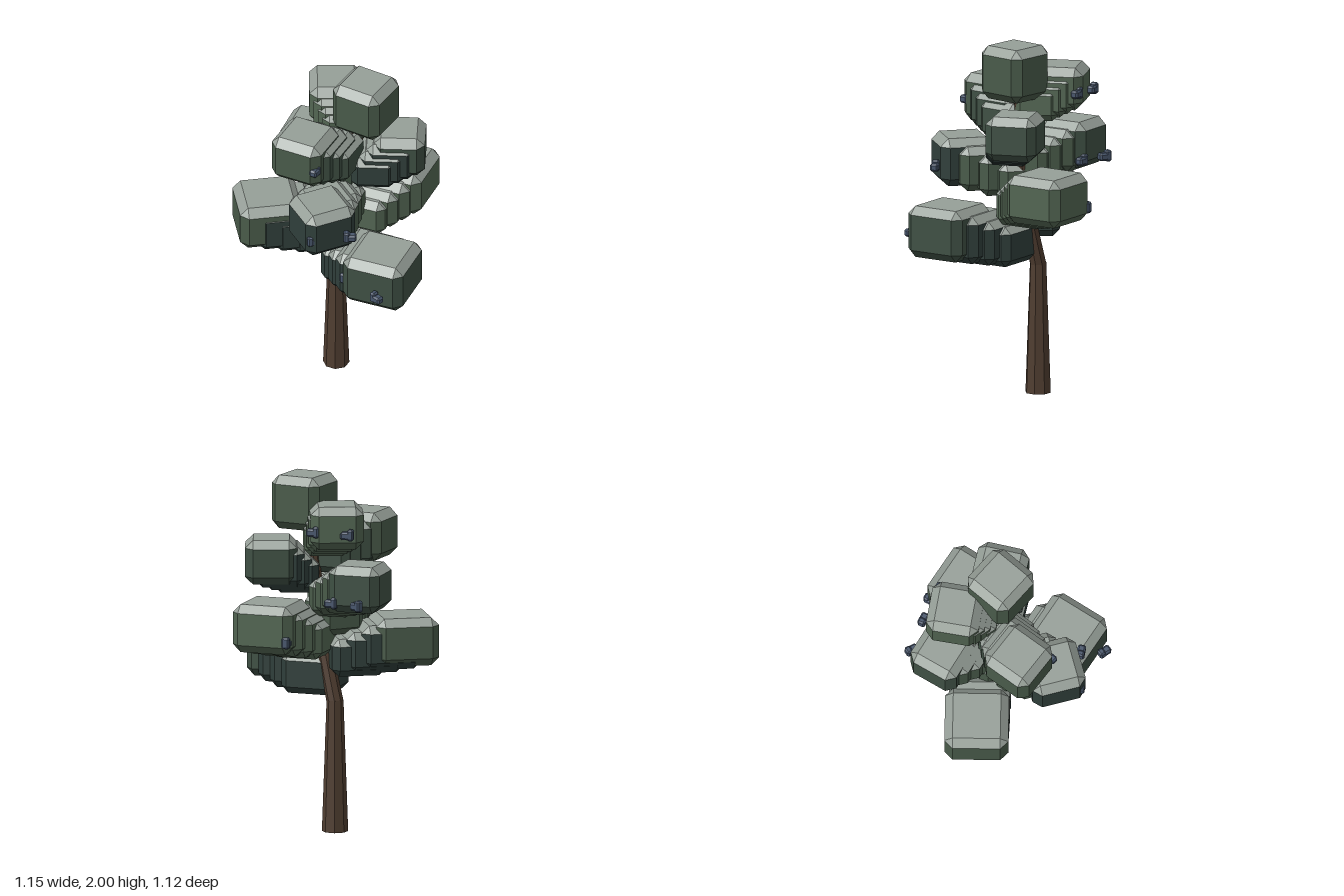
import * as THREE from 'three';
import { ConvexGeometry } from 'three/addons/geometries/ConvexGeometry.js';

const mat = (color) => new THREE.MeshStandardMaterial({ color, flatShading: true });
const bark = mat(0x4f3d30), blue = mat(0x48566c), greyTop = mat(0x969f98);
const light = mat(0x526552), mid = mat(0x495b4a), deep = mat(0x3f5044), dark = mat(0x303f3b);

// Box with every edge and corner cut by c
function chamferBox(w, h, d, c) {
  const pts = [];
  for (const sx of [-1, 1]) for (const sy of [-1, 1]) for (const sz of [-1, 1]) {
    const x = w / 2, y = h / 2, z = d / 2;
    pts.push(new THREE.Vector3(sx * x, sy * (y - c), sz * (z - c)));
    pts.push(new THREE.Vector3(sx * (x - c), sy * y, sz * (z - c)));
    pts.push(new THREE.Vector3(sx * (x - c), sy * (y - c), sz * z));
  }
  return new ConvexGeometry(pts);
}

// Keeps only the triangles that face upward, or only the others
function facesOf(geometry, upward) {
  const p = geometry.attributes.position.array, n = geometry.attributes.normal.array, kept = [];
  for (let i = 0; i < p.length; i += 9) {
    if ((n[i + 1] > 0.1) === upward) kept.push(...p.slice(i, i + 9));
  }
  const part = new THREE.BufferGeometry();
  part.setAttribute('position', new THREE.Float32BufferAttribute(kept, 3));
  part.computeVertexNormals();
  return part;
}

function addMesh(parent, name, geometry, material, x = 0, y = 0, z = 0) {
  const m = new THREE.Mesh(geometry, material);
  m.name = name;
  m.position.set(x, y, z);
  parent.add(m);
  return m;
}

// Green block with a pale grey top
function addLeafBlock(parent, w, h, c, material, x, y, z, turn) {
  const block = new THREE.Group();
  block.name = 'leafBlock';
  block.position.set(x, y, z);
  block.rotation.y = -turn * Math.PI / 180;
  const geometry = chamferBox(w, h, w, c);
  addMesh(block, 'leafSides', facesOf(geometry, false), material);
  addMesh(block, 'leafTop', facesOf(geometry, true), greyTop);
  parent.add(block);
}

// Tapered eight-sided limb between two points
function addLimb(parent, name, a, b, r0, r1) {
  const p = new THREE.Vector3(...a), q = new THREE.Vector3(...b);
  const dir = q.clone().sub(p);
  const c = p.clone().add(q).multiplyScalar(0.5);
  const m = addMesh(parent, name, new THREE.CylinderGeometry(r1, r0, dir.length(), 8), bark, c.x, c.y, c.z);
  m.quaternion.setFromUnitVectors(new THREE.Vector3(0, 1, 0), dir.normalize());
}

// Boughs: outer block x, z, bottom, top, width, turn; inner start x, z; outer and inner colour
const boughs = [
  [-0.255, -0.07, 1.63, 1.87, 0.295, 40, -0.14, -0.04, light, light],
  [-0.07, 0.31, 1.50, 1.77, 0.305, -23, -0.04, 0.12, mid, deep],
  [0.115, -0.22, 1.40, 1.65, 0.29, 43, 0.06, -0.08, deep, dark],
  [-0.375, 0.0, 1.28, 1.54, 0.295, -29, -0.15, 0.02, deep, mid],
  [0.13, 0.357, 1.16, 1.43, 0.305, 15, -0.07, 0.08, dark, mid],
  [-0.02, -0.345, 1.05, 1.32, 0.355, -27, -0.04, -0.12, light, light],
  [-0.355, 0.34, 0.94, 1.21, 0.355, 31, -0.19, 0.13, mid, dark],
  [0.353, 0.107, 0.81, 1.10, 0.36, -27, 0.06, 0.06, deep, dark],
];

// Small blue pods: x, y, z, turn
const pods = [
  [-0.42, 1.72, -0.14, -35], [-0.26, 1.73, -0.25, -30],
  [-0.495, 1.33, -0.14, 0], [-0.33, 1.33, -0.18, -25],
  [-0.22, 1.12, -0.41, 60], [0.325, 1.27, 0.32, -50],
  [0.22, 1.27, 0.495, -60], [0.5, 0.925, 0.275, -5],
  [0.25, 0.925, 0.28, -25], [0.095, 1.62, 0.375, 70],
];

export function createModel() {
  const tree = new THREE.Group();
  tree.name = 'tree';

  // Trunk, leaning to one side inside the crown
  addLimb(tree, 'trunk', [-0.157, 0, 0.01], [-0.157, 0.74, 0.01], 0.073, 0.047);
  addLimb(tree, 'upperTrunk', [-0.157, 0.73, 0.01], [-0.09, 1.0, 0], 0.047, 0.042);
  addLimb(tree, 'crownTrunk', [-0.09, 0.98, 0], [0.0, 1.75, -0.04], 0.042, 0.025);

  // Crown block on top
  addLeafBlock(tree, 0.3, 0.3, 0.045, mid, 0.024, 1.85, -0.052, -19);

  // Rows of blocks growing outward, upward and taller from the trunk
  for (const [x, z, bottom, top, w, turn, sx, sz, outer, inner] of boughs) {
    const bough = new THREE.Group();
    bough.name = 'leafBough';
    const y = (bottom + top) / 2, h = top - bottom, steps = 3;
    for (let i = 0; i <= steps; i++) {
      const t = i / steps, s = 0.86 + 0.14 * t;
      addLeafBlock(bough, w * s, h * (0.78 + 0.22 * t), 0.045 * s, i === steps ? outer : inner,
        THREE.MathUtils.lerp(sx, x, t), y - 0.085 * (1 - t), THREE.MathUtils.lerp(sz, z, t), turn);
    }
    addLimb(bough, 'branch', [-0.09 + (y - 1) * 0.12, y - 0.1, 0], [x, y, z], 0.025, 0.012);
    tree.add(bough);
  }

  // Pods: a body with a taller end
  for (const [x, y, z, turn] of pods) {
    const pod = new THREE.Group();
    pod.name = 'bluePod';
    pod.position.set(x, y, z);
    pod.rotation.y = -turn * Math.PI / 180;
    addMesh(pod, 'podBody', chamferBox(0.056, 0.044, 0.046, 0.01), blue, 0.009, 0, 0);
    addMesh(pod, 'podEnd', chamferBox(0.036, 0.064, 0.044, 0.009), blue, -0.019, 0.004, 0);
    tree.add(pod);
  }
  return tree;
}
